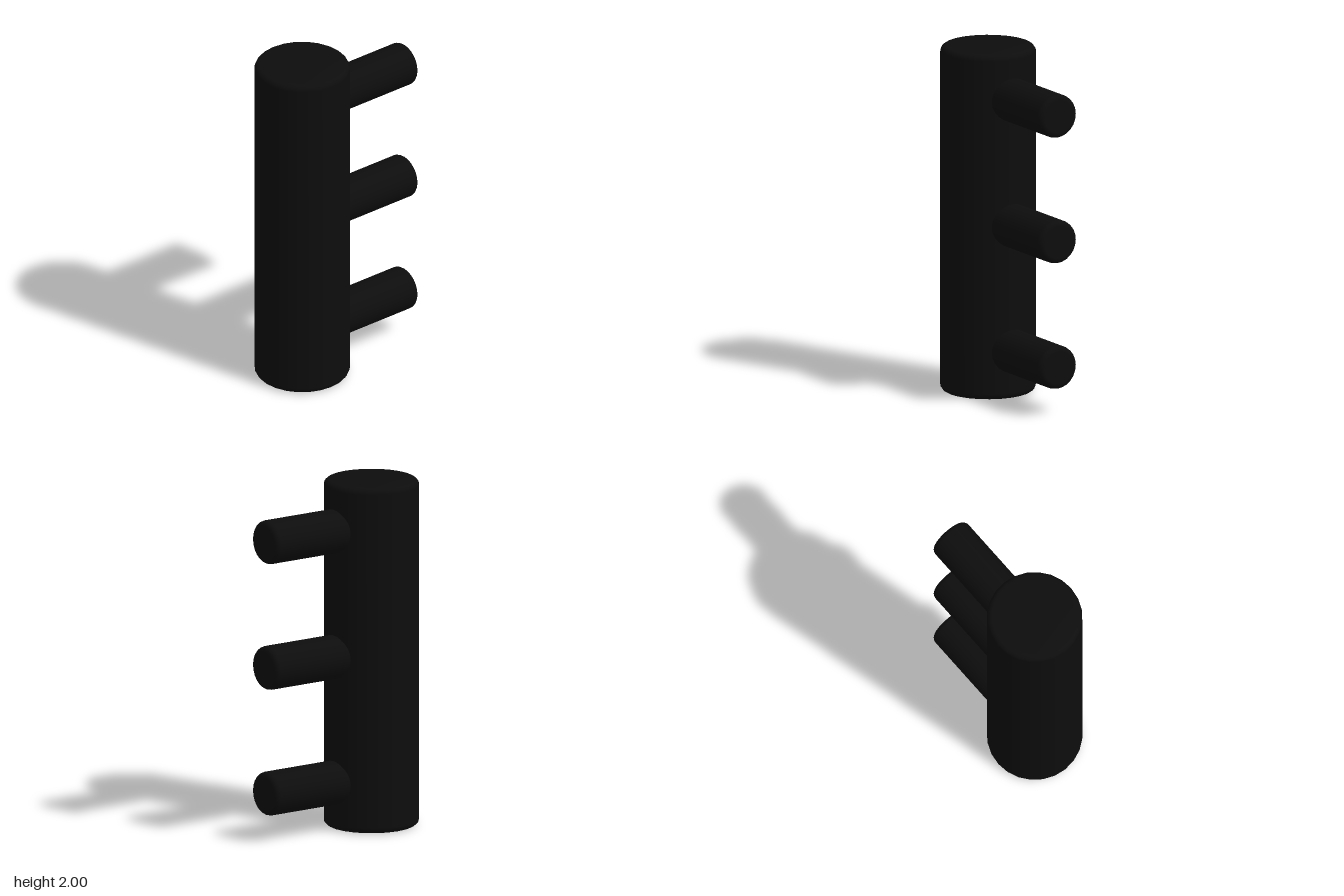
import * as THREE from 'three';

const SIDES = 24;
const black = new THREE.MeshStandardMaterial({ color: 0x0d0d0d });

// Solid rod standing on y = 0 with rounded rims
function roundedRod(radius, length, rim) {
  const points = [new THREE.Vector2(0, 0)];
  const steps = 4;
  for (const [centreY, start] of [[rim, -Math.PI / 2], [length - rim, 0]]) {
    for (let i = 0; i <= steps; i++) {
      const a = start + (i / steps) * Math.PI / 2;
      points.push(new THREE.Vector2(radius - rim + rim * Math.cos(a), centreY + rim * Math.sin(a)));
    }
  }
  points.push(new THREE.Vector2(0, length));
  return new THREE.LatheGeometry(points, SIDES);
}

export function createModel() {
  const model = new THREE.Group();
  model.name = 'pegHandle';

  // Upright body
  const body = new THREE.Mesh(roundedRod(0.27, 2, 0.035), black);
  body.name = 'body';
  body.position.z = 0.242;
  model.add(body);

  // Three pegs pointing backwards, rooted inside the body
  const pegGeometry = roundedRod(0.125, 0.612, 0.03);
  pegGeometry.rotateX(-Math.PI / 2);
  [0.276, 1.004, 1.732].forEach((y, i) => {
    const peg = new THREE.Mesh(pegGeometry, black);
    peg.name = ['lowerPeg', 'middlePeg', 'upperPeg'][i];
    peg.position.set(0, y, 0.1);
    model.add(peg);
  });

  return model;
}
